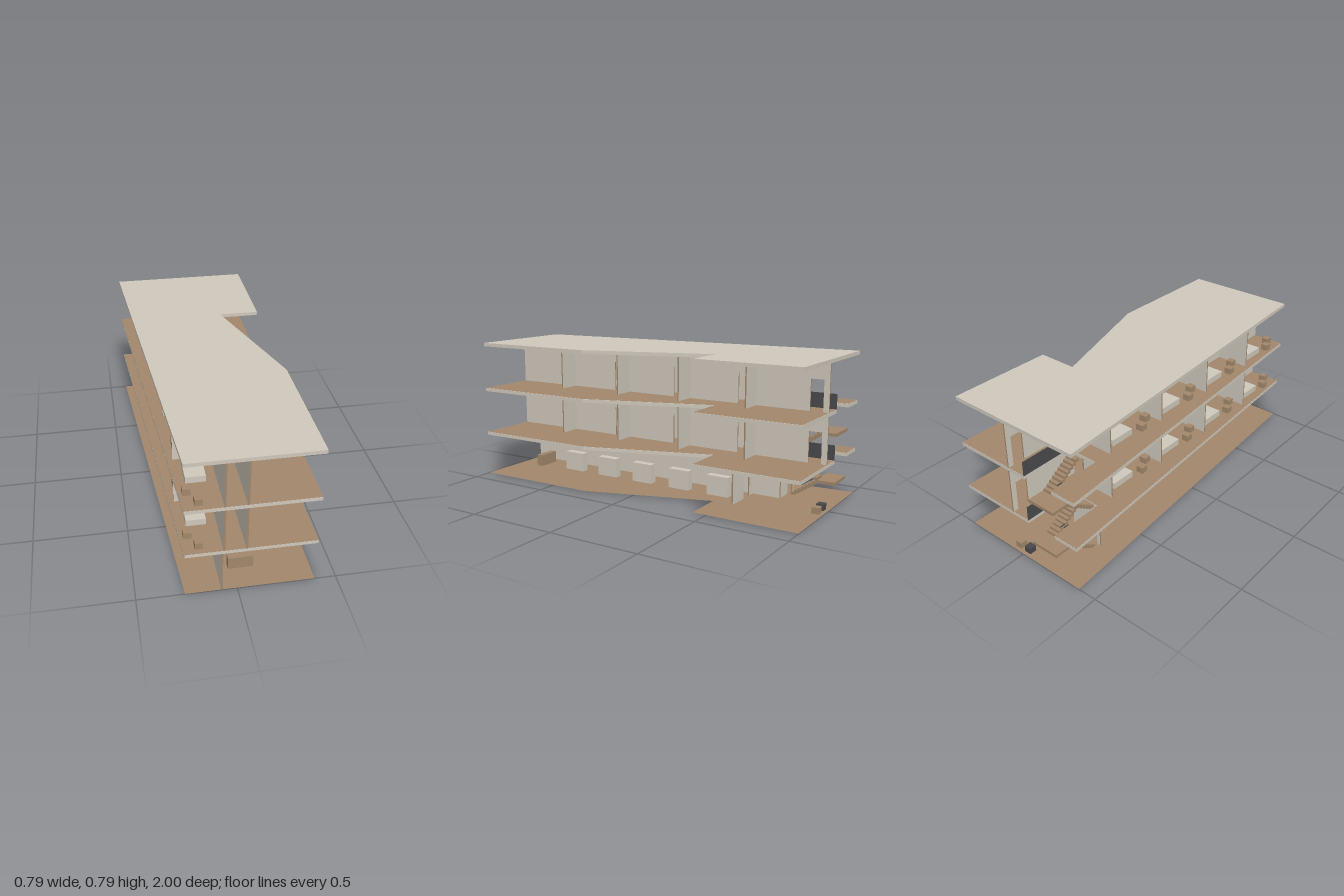
import * as THREE from 'three';

const mat = (name, color) => {
  const m = new THREE.MeshStandardMaterial({ color, side: THREE.DoubleSide });
  m.name = name;
  return m;
};

export function createModel() {
  const model = new THREE.Group();
  const plaster = mat('plaster', 0xcfc8bc);
  const wood = mat('wood', 0xa1876b);
  const dark = mat('dark metal', 0x4a4a4d);

  const add = (name, geo, material, parent = model) => {
    const mesh = new THREE.Mesh(geo, material);
    mesh.name = name;
    parent.add(mesh);
    return mesh;
  };
  // Box given by its extents on each axis
  const box = (name, [x0, x1], [y0, y1], [z0, z1], material, parent) =>
    add(name, new THREE.BoxGeometry(x1 - x0, y1 - y0, z1 - z0), material, parent)
      .position.set((x0 + x1) / 2, (y0 + y1) / 2, (z0 + z1) / 2);

  // Walls are plastered on the broad faces and wooden on the cut edges
  const alongZ = [plaster, plaster, wood, wood, wood, wood];
  const alongX = [wood, wood, wood, wood, plaster, plaster];
  const T = 0.004; // half wall thickness
  const DOOR = 0.165;

  // Wall along one axis from a to b, with door openings [start, end] in order
  const wall = (name, axis, at, a, b, y0, y1, doors, parent) => {
    const g = new THREE.Group();
    g.name = name;
    parent.add(g);
    const piece = (label, s, e, lo, hi) => {
      const across = [at - T, at + T];
      if (axis === 'z') box(label, across, [lo, hi], [s, e], alongZ, g);
      else box(label, [s, e], [lo, hi], across, alongX, g);
    };
    let from = a;
    for (const [s, e] of doors) {
      if (s > from) piece('wallPanel', from, s, y0, y1);
      piece('doorLintel', s, e, y0 + DOOR, y1);
      from = e;
    }
    piece('wallPanel', from, b, y0, y1);
  };

  // Building outline as x, z corners
  const outline = [[-0.26, 1], [0.392, 1], [0.387, 0.28], [0.163, -0.42],
    [0.385, -0.42], [0.387, -1]];
  const stairNotch = [[-0.067, -1], [-0.067, -0.7], [-0.25, -0.7], [-0.25, -1]];
  const shapeOf = (notched) => new THREE.Shape(
    [...outline, ...(notched ? stairNotch : []), [-0.395, -1]]
      .map(([x, z]) => new THREE.Vector2(x, -z)));
  const finish = (name, y, notched) =>
    add(name, new THREE.ShapeGeometry(shapeOf(notched)).rotateX(-Math.PI / 2), wood)
      .position.y = y;
  const slab = (name, y0, y1, notched) =>
    add(name, new THREE.ExtrudeGeometry(shapeOf(notched), { depth: y1 - y0, bevelEnabled: false })
      .rotateX(-Math.PI / 2), plaster).position.y = y0;

  // Ground, two floor slabs and roof
  finish('groundFloor', 0.001, false);
  slab('firstFloorSlab', 0.237, 0.255, true);
  finish('firstFloorFinish', 0.256, true);
  slab('secondFloorSlab', 0.503, 0.522, true);
  finish('secondFloorFinish', 0.523, true);
  slab('roofSlab', 0.77, 0.79, false);

  // Ground storey walls
  const ground = new THREE.Group();
  ground.name = 'groundStorey';
  model.add(ground);
  wall('longWall', 'z', -0.077, -0.7, 1, 0, 0.237, [], ground);
  wall('stairWall', 'x', -0.7, -0.26, -0.077, 0, 0.237, [[-0.24, -0.17]], ground);
  wall('hallWall', 'x', -0.535, -0.065, 0.165, 0, 0.237, [[-0.03, 0.039]], ground);

  // Ground storey furniture
  box('receptionDesk', [-0.023, 0.108], [0, 0.07], [0.828, 0.867], wood, ground);
  for (let i = 0; i < 5; i++) {
    const z = 0.597 - i * 0.248;
    box('displayBlock', [0.028, 0.072], [0, 0.112], [z - 0.065, z + 0.065], plaster, ground);
  }
  box('woodStool', [0.035, 0.075], [0, 0.035], [-0.98, -0.94], wood, ground);
  box('darkStool', [-0.031, 0.009], [0, 0.035], [-0.98, -0.94], dark, ground);

  // Upper storeys: corridor walls, partitions and room furniture
  for (const [y0, y1] of [[0.255, 0.503], [0.522, 0.77]]) {
    const storey = new THREE.Group();
    storey.name = 'upperStorey';
    model.add(storey);
    const doors = [-0.935, -0.535, -0.135, 0.265, 0.665].map((z) => [z - 0.035, z + 0.035]);
    wall('rightCorridorWall', 'z', 0.042, -1, 1, y0, y1, doors, storey);
    wall('leftCorridorWall', 'z', -0.067, -0.605, 1, y0, y1, doors.slice(1), storey);
    for (const z of [-0.6, -0.2, 0.2, 0.6]) {
      wall('leftPartition', 'x', z, -0.26, -0.071, y0, y1, [], storey);
      wall('rightPartition', 'x', z, 0.046, 0.165, y0, y1, [], storey);
      const top = y0 + 0.036;
      box('bed', [-0.225, -0.124], [y0, top], [z + 0.055, z + 0.2], plaster, storey);
      box('bedsideTable', [-0.116, -0.08], [y0, top], [z + 0.008, z + 0.045], wood, storey);
      box('balconySeat', [-0.25, -0.21], [y0, top], [z + 0.25, z + 0.29], wood, storey);
      box('balconyTable', [-0.205, -0.165], [y0, top], [z + 0.33, z + 0.37], wood, storey);
    }
    box('stairGuard', [-0.068, -0.064], [y0, y0 + 0.08], [-1, -0.69], dark, storey);
  }

  // Two switchback stairs with a half landing at the back
  const STEPS = 9;
  for (const [y0, y1] of [[0, 0.25], [0.255, 0.517]]) {
    const stair = new THREE.Group();
    stair.name = 'stair';
    model.add(stair);
    const rise = (y1 - y0) / (2 * STEPS + 1);
    for (let i = 0; i < STEPS; i++) {
      const z = -0.72 - i * 0.02;
      const low = y0 + i * rise;
      const high = y1 - i * rise;
      box('lowerStep', [-0.24, -0.175], [low, low + rise * 1.2], [z - 0.026, z], wood, stair);
      box('upperStep', [-0.155, -0.09], [high - rise * 1.2, high], [z - 0.026, z], wood, stair);
    }
    const mid = y0 + STEPS * rise;
    box('landing', [-0.25, -0.085], [mid - 0.003, mid + rise], [-1, -0.9], wood, stair);
    // Short handrail bars beside the lower flight
    for (let i = 0; i < 7; i++) {
      const y = y0 + 0.083 + i * 0.02;
      const z = -0.73 - i * 0.025;
      box('handrailBar', [-0.18, -0.176], [y, y + 0.004], [z - 0.015, z + 0.015], dark, stair);
    }
  }
  return model;
}
